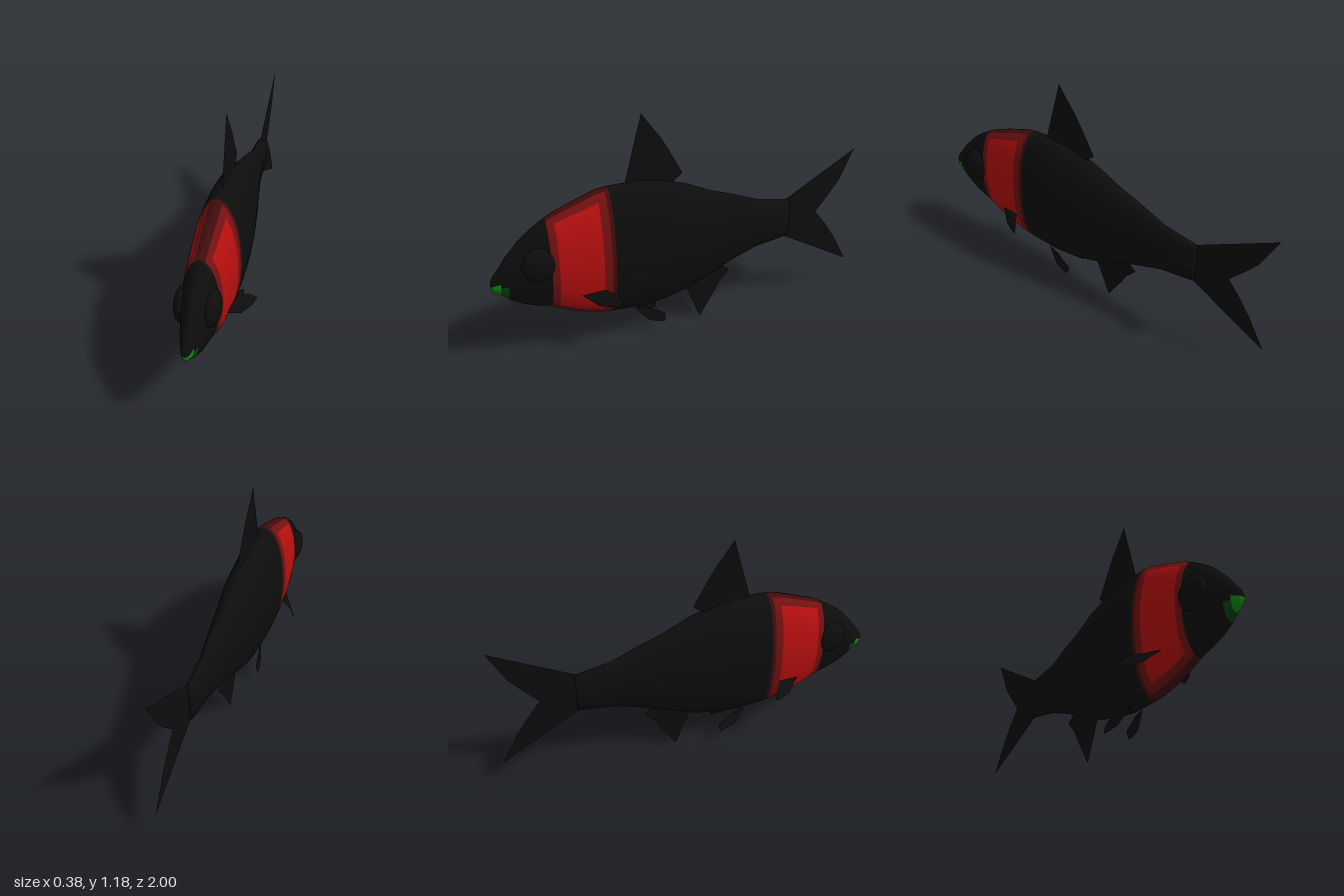
import * as THREE from 'three';

const paint = (name, color, side = THREE.FrontSide) => {
  const m = new THREE.MeshStandardMaterial({ color, side });
  m.name = name;
  return m;
};

// Body rings from nose to tail: z, top y, bottom y, half width
const RINGS = [
  [0.998, 0.455, 0.42, 0.01], [0.985, 0.485, 0.40, 0.02], [0.955, 0.52, 0.383, 0.03],
  [0.92, 0.57, 0.352, 0.042], [0.89, 0.60, 0.333, 0.05], [0.85, 0.645, 0.31, 0.06],
  [0.785, 0.695, 0.285, 0.074], [0.72, 0.735, 0.268, 0.086], [0.685, 0.755, 0.25, 0.092],
  [0.595, 0.79, 0.207, 0.102], [0.47, 0.835, 0.172, 0.111], [0.43, 0.842, 0.168, 0.113],
  [0.41, 0.845, 0.165, 0.114], [0.25, 0.847, 0.155, 0.116], [0.12, 0.825, 0.168, 0.11],
  [0.01, 0.795, 0.195, 0.101], [-0.14, 0.728, 0.255, 0.08], [-0.26, 0.688, 0.305, 0.062],
  [-0.41, 0.63, 0.355, 0.041], [-0.6, 0.597, 0.382, 0.034],
];
const SIDES = 24;

// Colour slot of a body face: 0 black, 1 red, 2 dark red, 3 maroon, 4 green, 5 dark green
function slotAt(z, s) {
  if (z > 0.955) return s < 0 ? 4 : 0;
  if (z > 0.92) return s < -0.25 ? 5 : 0;
  if (z > 0.72 || z < 0.41) return 0;
  if (z < 0.43) return 3;
  if (Math.abs(s) > 0.98) return 3;
  if (z > 0.685 || z < 0.47) return 2;
  return Math.abs(s) > 0.9 ? 2 : 1;
}

function bodyGeometry() {
  const pos = [];
  const slots = [[], [], [], [], [], []];
  for (const [z, top, bottom, w] of RINGS) {
    for (let j = 0; j < SIDES; j++) {
      const t = (j / SIDES) * Math.PI * 2;
      pos.push(Math.cos(t) * w, (top + bottom) / 2 + Math.sin(t) * (top - bottom) / 2, z);
    }
  }
  for (let k = 0; k < RINGS.length - 1; k++) {
    const z = (RINGS[k][0] + RINGS[k + 1][0]) / 2;
    for (let j = 0; j < SIDES; j++) {
      const n = (j + 1) % SIDES;
      const a = k * SIDES + j, b = k * SIDES + n, c = a + SIDES, d = b + SIDES;
      const s = Math.sin(((j + 0.5) / SIDES) * Math.PI * 2);
      slots[slotAt(z, s)].push(a, c, b, b, c, d);
    }
  }
  // Close the nose and the tail root
  const last = (RINGS.length - 1) * SIDES;
  for (let j = 1; j < SIDES - 1; j++) {
    slots[j < SIDES / 2 ? 0 : 4].push(0, j, j + 1);
    slots[0].push(last, last + j + 1, last + j);
  }
  const g = new THREE.BufferGeometry();
  g.setAttribute('position', new THREE.Float32BufferAttribute(pos, 3));
  g.setIndex(slots.flat());
  let start = 0;
  slots.forEach((list, i) => {
    g.addGroup(start, list.length, i);
    start += list.length;
  });
  g.computeVertexNormals();
  return g;
}

// Thin fin: a fan of triangles from the first outline point
function finGeometry(points) {
  const index = [];
  for (let i = 1; i < points.length - 1; i++) index.push(0, i, i + 1);
  const g = new THREE.BufferGeometry();
  g.setAttribute('position', new THREE.Float32BufferAttribute(points.flat(), 3));
  g.setIndex(index);
  g.computeVertexNormals();
  return g;
}

export function createModel() {
  const fish = new THREE.Group();
  fish.name = 'fish';
  const black = paint('black', 0x0d0d0d, THREE.DoubleSide);
  const skin = [
    black, paint('red', 0xb80f0f), paint('darkRed', 0x741010),
    paint('maroon', 0x400c0c), paint('green', 0x128c16), paint('darkGreen', 0x0c420f),
  ];
  const add = (name, geometry, material = black) => {
    const m = new THREE.Mesh(geometry, material);
    m.name = name;
    fish.add(m);
    return m;
  };

  add('body', bodyGeometry(), skin);

  // Flat fins on the centre line: z, y
  const flatFins = {
    dorsalFin: [[0.32, 0.835], [0.225, 1.18], [0.18, 1.115], [0.13, 1.05], [0.085, 0.975],
      [0.015, 0.85], [0.07, 0.805]],
    tailFin: [[-0.78, 0.49], [-0.85, 0.57], [-0.915, 0.65], [-1, 0.822], [-0.59, 0.6],
      [-0.59, 0.38], [-1, 0.158], [-0.915, 0.31], [-0.85, 0.405]],
    analFin: [[0, 0.21], [-0.085, 0.002], [-0.17, 0.135], [-0.2, 0.19], [-0.255, 0.25],
      [-0.2, 0.295]],
  };
  for (const [name, outline] of Object.entries(flatFins)) {
    add(name, finGeometry(outline.map(([z, y]) => [0, y, z])));
  }

  // Paired fins and eyes: x, y, z of the left side, mirrored
  const pectoral = [[0.085, 0.332, 0.58], [0.1, 0.345, 0.47], [0.155, 0.338, 0.43],
    [0.19, 0.302, 0.405], [0.172, 0.28, 0.44], [0.135, 0.285, 0.515]];
  const pelvic = [[0.033, 0.168, 0.3], [0.045, 0.155, 0.23], [0.062, 0.14, 0.18],
    [0.062, 0.11, 0.14], [0.075, 0.072, 0.145], [0.07, 0.075, 0.175], [0.06, 0.09, 0.23]];
  for (const [side, s] of [['left', 1], ['right', -1]]) {
    const mirror = (pts) => pts.map(([x, y, z]) => [x * s, y, z]);
    add(side + 'PectoralFin', finGeometry(mirror(pectoral)));
    add(side + 'PelvicFin', finGeometry(mirror(pelvic)));
    const eye = add(side + 'Eye', new THREE.SphereGeometry(1, 20, 14));
    eye.scale.set(0.042, 0.088, 0.084);
    eye.position.set(0.063 * s, 0.53, 0.775);
  }
  return fish;
}
